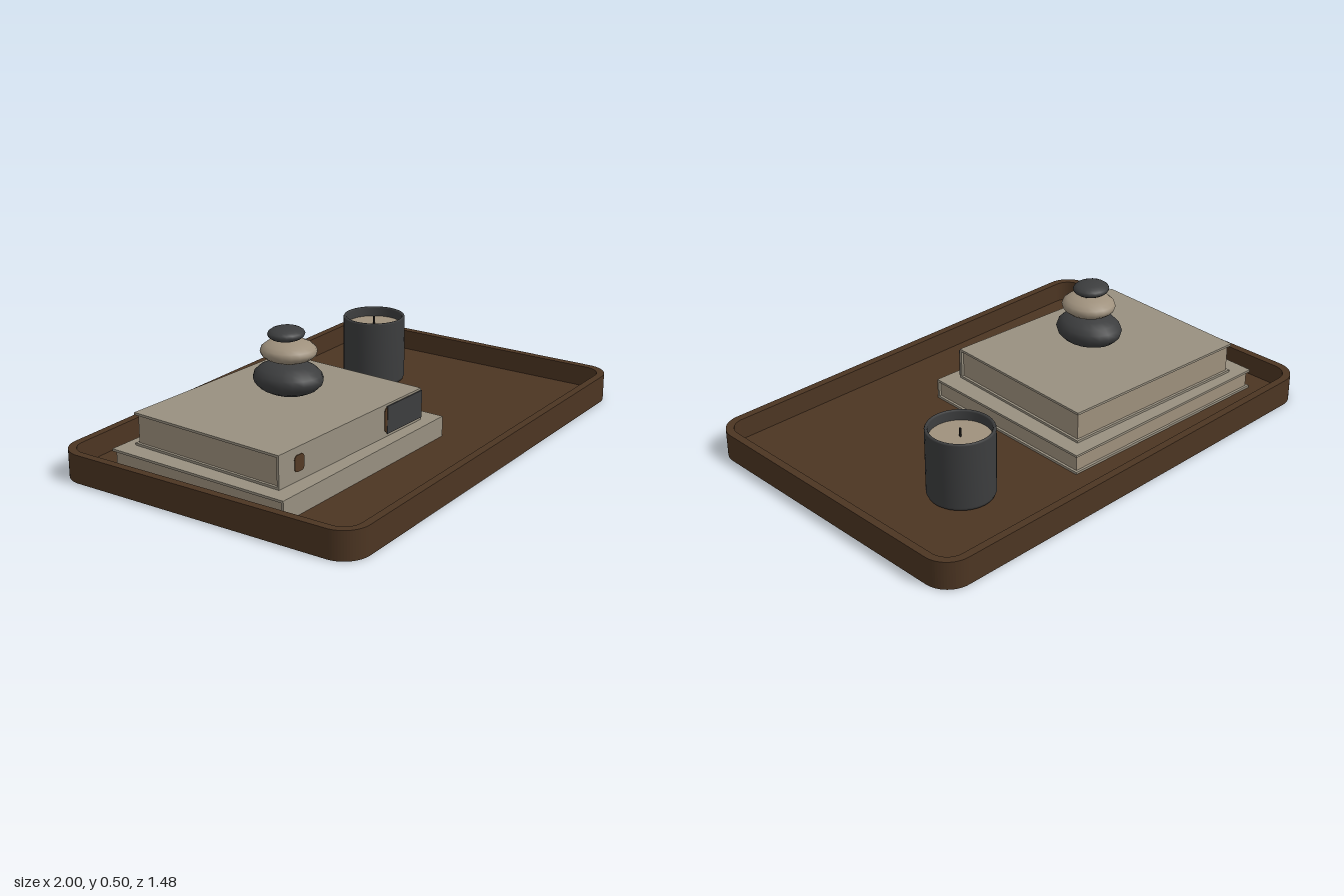
import * as THREE from 'three';

const mat = (name, color) => Object.assign(new THREE.MeshStandardMaterial({ color }), { name });

export function createModel() {
  const wood = mat('dark wood', 0x4c3522);
  const cover = mat('grey linen', 0x989080);
  const paper = mat('warm paper', 0x9f917d);
  const charcoal = mat('charcoal', 0x3c3d3e);
  const brown = mat('tag brown', 0x543a24);
  const wickMat = mat('wick black', 0x1c1a18);

  const root = new THREE.Group();
  root.name = 'decorativeTray';

  const add = (parent, name, geo, material, x = 0, y = 0, z = 0) => {
    const m = new THREE.Mesh(geo, material);
    m.name = name;
    m.position.set(x, y, z);
    parent.add(m);
    return m;
  };
  const group = (name, x, y, z, turn) => {
    const g = new THREE.Group();
    g.name = name;
    g.position.set(x, y, z);
    g.rotation.y = turn;
    root.add(g);
    return g;
  };

  // Rounded rectangle centred on the origin
  const roundRect = (w, h, r, Kind = THREE.Shape) => {
    const s = new Kind(), a = w / 2, b = h / 2;
    s.moveTo(-a + r, -b);
    s.lineTo(a - r, -b);
    s.absarc(a - r, -b + r, r, -Math.PI / 2, 0);
    s.lineTo(a, b - r);
    s.absarc(a - r, b - r, r, 0, Math.PI / 2);
    s.lineTo(-a + r, b);
    s.absarc(-a + r, b - r, r, Math.PI / 2, Math.PI);
    s.lineTo(-a, -b + r);
    s.absarc(-a + r, -b + r, r, Math.PI, Math.PI * 1.5);
    return s;
  };
  const extrude = (shape, depth) =>
    new THREE.ExtrudeGeometry(shape, { depth, bevelEnabled: false, curveSegments: 8 });

  // Tray: rim wall around a slightly raised floor
  const W = 1.87, D = 1.258, R = 0.1, T = 0.03;
  const tray = group('tray', 0, 0, 0, 0.14);
  const rim = roundRect(W, D, R);
  rim.holes.push(roundRect(W - 2 * T, D - 2 * T, R - T, THREE.Path));
  add(tray, 'trayRim', extrude(rim, 0.107).rotateX(-Math.PI / 2), wood);
  const floor = roundRect(W - 2 * T + 0.002, D - 2 * T + 0.002, R - T);
  add(tray, 'trayFloor', extrude(floor, 0.015).rotateX(-Math.PI / 2), wood, 0, 0.01, 0);

  // Book: two boards, a spine on the front and an inset page block
  const book = (name, w, h, d, x, y, z, turn) => {
    const g = group(name, x, y, z, turn), t = 0.009, inset = 0.01;
    const board = new THREE.BoxGeometry(w, t, d);
    add(g, 'bottomCover', board, cover, 0, t / 2, 0);
    add(g, 'topCover', board, cover, 0, h - t / 2, 0);
    add(g, 'spine', new THREE.BoxGeometry(w, h - 2 * t, t), cover, 0, h / 2, d / 2 - t / 2);
    add(g, 'pages', new THREE.BoxGeometry(w - 2 * inset, h - 2 * t, d - t - inset), paper,
      0, h / 2, (inset - t) / 2);
    return g;
  };
  book('lowerBook', 0.952, 0.079, 0.768, -0.358, 0.025, -0.025, 0.106);
  const upper = book('upperBook', 0.816, 0.124, 0.66, -0.36, 0.104, -0.027, 0.085);

  // Painted plates on the upper spine
  add(upper, 'spineTag', extrude(roundRect(0.05, 0.06, 0.014), 0.003), brown, -0.302, 0.065, 0.33);
  add(upper, 'spineLabelBacking', extrude(roundRect(0.06, 0.096, 0.016), 0.003), brown, 0.212, 0.064, 0.33);
  add(upper, 'spineLabel', new THREE.BoxGeometry(0.213, 0.105, 0.005), charcoal, 0.3015, 0.0635, 0.3325);

  // Stacked stones: radii and centres
  const stones = [
    ['bottomStone', charcoal, 0.113, 0.063, 0.134, -0.334, 0.312, -0.012],
    ['middleStone', paper, 0.098, 0.043, 0.106, -0.33, 0.412, -0.012],
    ['topStone', charcoal, 0.071, 0.026, 0.067, -0.339, 0.477, -0.014],
  ];
  for (const [name, m, rx, ry, rz, x, y, z] of stones) {
    const s = add(root, name, new THREE.SphereGeometry(1, 20, 10), m, x, y, z);
    s.scale.set(rx, ry, rz);
    s.rotation.y = 0.2;
  }

  // Candle: open cup, wax and wick
  const candle = group('candle', 0.473, 0.025, -0.312, 0);
  const profile = [[0, 0], [0.108, 0], [0.12, 0.006], [0.125, 0.018], [0.125, 0.265], [0.122, 0.27],
    [0.115, 0.27], [0.112, 0.265], [0.112, 0.22]].map(p => new THREE.Vector2(...p));
  add(candle, 'candleCup', new THREE.LatheGeometry(profile, 40), charcoal);
  add(candle, 'wax', new THREE.CylinderGeometry(0.113, 0.113, 0.01, 40), paper, 0, 0.227, 0);
  add(candle, 'wick', new THREE.CylinderGeometry(0.004, 0.004, 0.034, 8), wickMat, 0, 0.248, 0);

  return root;
}
